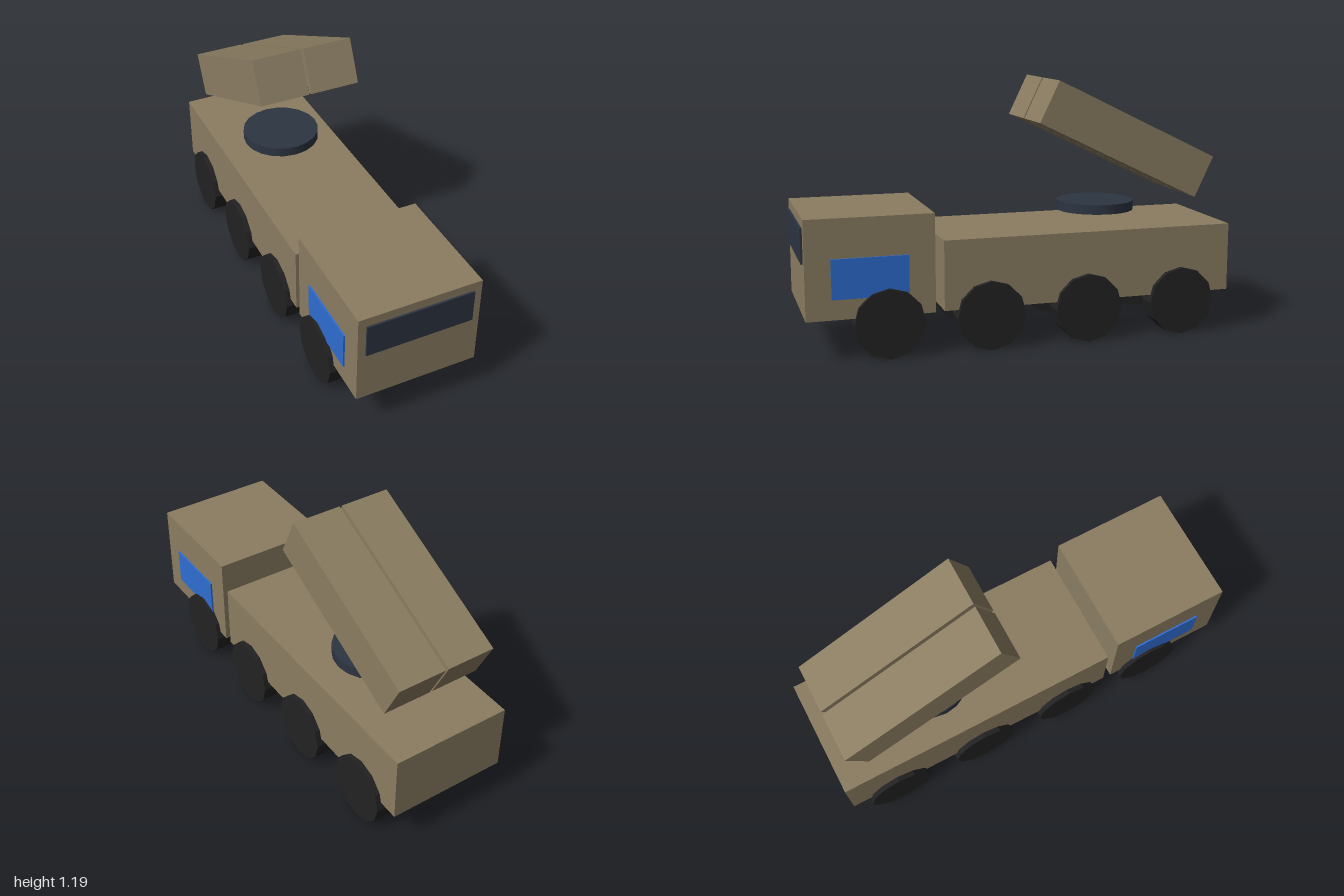
import * as THREE from 'three';

const paint = (name, color) => {
  const m = new THREE.MeshStandardMaterial({ color });
  m.name = name;
  return m;
};

export function createModel() {
  const tan = paint('tan paint', 0x8b7d62);
  const rubber = paint('black rubber', 0x222222);
  const slate = paint('dark slate', 0x2d3542);
  const blue = paint('blue glass', 0x2f6dd2);
  const model = new THREE.Group();
  model.name = 'launcherTruck';

  const add = (parent, name, geometry, material, x, y, z) => {
    const mesh = new THREE.Mesh(geometry, material);
    mesh.name = name;
    mesh.position.set(x, y, z);
    parent.add(mesh);
    return mesh;
  };
  const box = (w, h, d) => new THREE.BoxGeometry(w, h, d);

  // Cab and rear hull
  add(model, 'cab', box(0.574, 0.445, 0.57), tan, 0, 0.4125, 0.705);
  add(model, 'hull', box(0.57, 0.318, 1.38), tan, 0, 0.351, -0.31);

  // Windows
  add(model, 'windshield', box(0.5, 0.157, 0.009), slate, 0, 0.514, 0.9945);
  for (const side of [1, -1]) {
    add(model, side > 0 ? 'leftWindow' : 'rightWindow',
      box(0.009, 0.178, 0.34), blue, side * 0.2905, 0.37, 0.708);
  }

  // Four axles of faceted wheels
  const wheel = new THREE.CylinderGeometry(0.158, 0.158, 0.098, 12).toNonIndexed();
  wheel.rotateZ(Math.PI / 2);
  wheel.computeVertexNormals();
  for (const z of [0.627, 0.167, -0.295, -0.756]) {
    for (const side of [1, -1]) {
      add(model, side > 0 ? 'leftWheel' : 'rightWheel', wheel, rubber, side * 0.26, 0.158, z);
    }
  }

  // Turntable
  const disc = new THREE.CylinderGeometry(0.185, 0.185, 0.045, 20);
  add(model, 'turntable', disc, slate, 0, 0.5875, -0.43);

  // Raised pair of launch boxes with a rail in the gap
  const launcher = new THREE.Group();
  launcher.name = 'launcher';
  launcher.position.set(0, 0.916, -0.503);
  launcher.rotation.x = -0.45;
  model.add(launcher);
  for (const side of [1, -1]) {
    add(launcher, side > 0 ? 'leftLaunchBox' : 'rightLaunchBox',
      box(0.234, 0.209, 0.85), tan, side * 0.124, 0, 0);
  }
  add(launcher, 'centreRail', box(0.016, 0.03, 0.802), slate, 0, -0.081, -0.011);

  return model;
}
